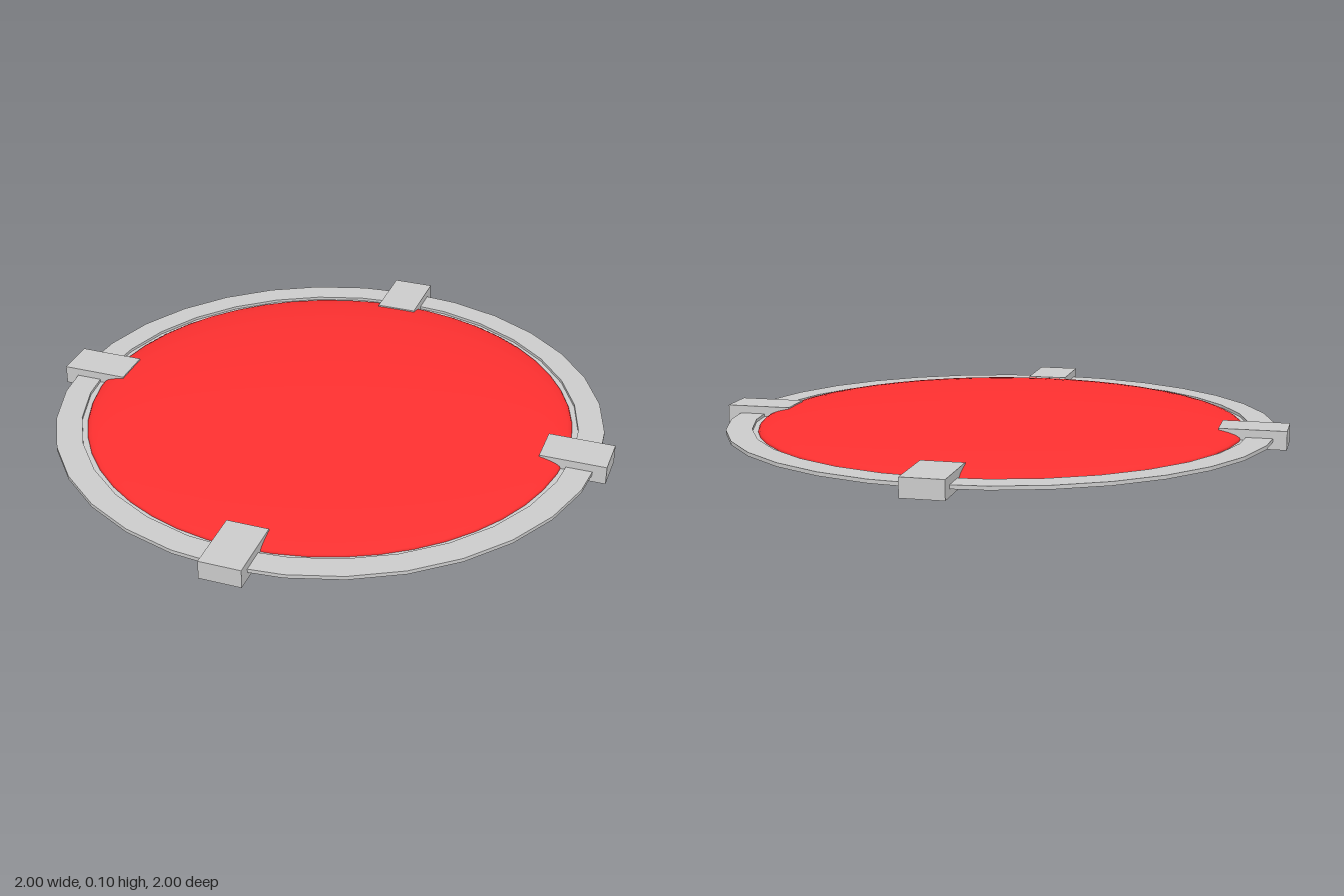
import * as THREE from 'three';

const SIDES = 32;
const pts = (list) => list.map(([r, y]) => new THREE.Vector2(r, y));

export function createModel() {
  const model = new THREE.Group();
  const grey = new THREE.MeshStandardMaterial({ color: 0xcccccc, flatShading: true });
  const red = new THREE.MeshStandardMaterial({ color: 0xff3030 });

  const add = (name, geometry, material) => {
    const mesh = new THREE.Mesh(geometry, material);
    mesh.name = name;
    model.add(mesh);
    return mesh;
  };

  // Shallow dish: closed bottom, outer wall, flat rim and recessed floor
  add('baseRing', new THREE.LatheGeometry(pts([
    [0, 0.025], [0.96, 0.025], [0.96, 0.038], [0.87, 0.038], [0.87, 0.028], [0, 0.028],
  ]), SIDES), grey);

  // Domed lens: upper half of a flattened sphere
  const dome = new THREE.SphereGeometry(0.85, 48, 16, 0, Math.PI * 2, 0, Math.PI / 2);
  dome.scale(1, 0.075 / 0.85, 1);
  dome.translate(0, 0.029, 0);
  add('domeLens', dome, red);

  // Four clips gripping the rim
  ['frontClip', 'leftClip', 'backClip', 'rightClip'].forEach((name, i) => {
    const clip = new THREE.BoxGeometry(0.144, 0.065, 0.23);
    clip.translate(0, 0.0325, 0.885);
    clip.rotateY(i * Math.PI / 2);
    add(name, clip, grey);
  });

  return model;
}
